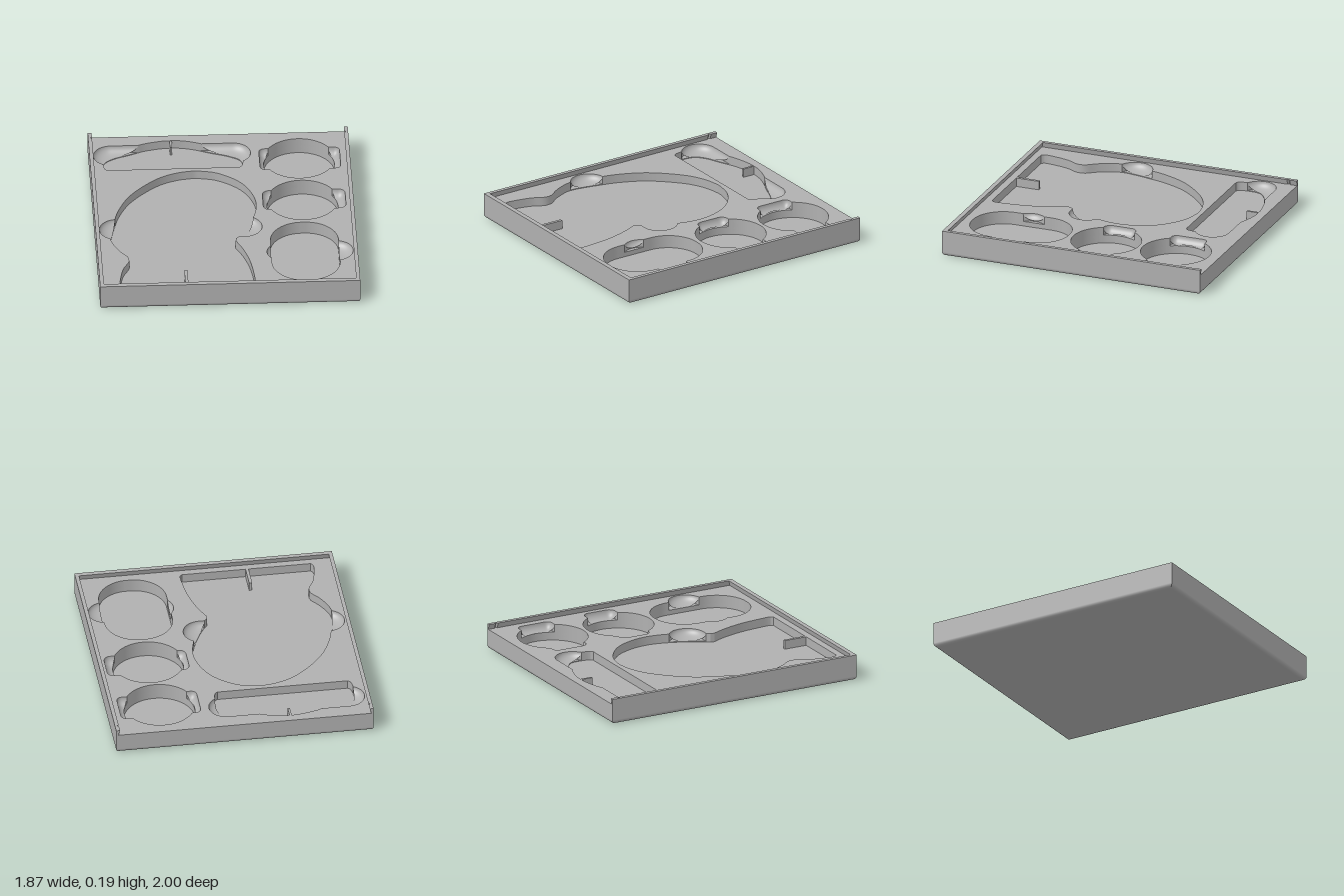
import * as THREE from 'three';
import { toCreasedNormals } from 'three/addons/utils/BufferGeometryUtils.js';

const HX = 0.935, HZ = 1, DECK = 0.15, RIM = 0.19, BASE = 0.03, LEDGE = 0.09;

// Edge of a pocket as x(z), from a smooth line through [z, x] points
function edge(points) {
  const curve = new THREE.CatmullRomCurve3(points.map(([z, x]) => new THREE.Vector3(x, 0, z)));
  const p = curve.getPoints(160);
  return z => {
    let i = 1;
    while (i < p.length - 1 && p[i].z < z) i++;
    const a = p[i - 1], b = p[i];
    const t = THREE.MathUtils.clamp((z - a.z) / (b.z - a.z || 1), 0, 1);
    return a.x + (b.x - a.x) * t;
  };
}

// Rounded rectangle, used for round pockets and finger notches
function rounded(x0, x1, z0, z1, r, fillet) {
  const cx = (x0 + x1) / 2, cz = (z0 + z1) / 2, hx = (x1 - x0) / 2, hz = (z1 - z0) / 2;
  const half = z => {
    const k = Math.max(0, Math.abs(z - cz) - hz + r);
    return hx - r + Math.sqrt(Math.max(0, r * r - k * k));
  };
  return {
    z0, z1,
    left: z => cx - half(z),
    right: z => cx + half(z),
    // Height of the scooped notch floor
    height(x, z) {
      const qx = Math.abs(x - cx) - hx + r, qz = Math.abs(z - cz) - hz + r;
      const d = r - Math.hypot(Math.max(qx, 0), Math.max(qz, 0)) - Math.min(Math.max(qx, qz), 0);
      const t = THREE.MathUtils.clamp(d / fillet, 0, 1);
      return DECK - (DECK - LEDGE - 0.0005) * Math.sqrt(1 - (1 - t) ** 2);
    },
  };
}

// Cosine-spaced values, dense at both ends
const spaced = (a, b, n) => Array.from({ length: n + 1 },
  (_, i) => a + (b - a) * (1 - Math.cos(Math.PI * i / n)) / 2);

// Closed outline of a pocket, optionally joined with its notch
function outline(pocket, notch) {
  const e = 0.0005;
  let zs = spaced(pocket.z0 + e, pocket.z1 - e, 72);
  if (notch) {
    zs = zs.concat(spaced(notch.z0 + e / 5, notch.z1 - e / 5, 24), [notch.z0 - e / 5, notch.z1 + e / 5]);
    zs.sort((a, b) => a - b);
  }
  zs = zs.filter((z, i) => !i || z - zs[i - 1] > 1e-5);
  const inside = z => notch && z > notch.z0 && z < notch.z1;
  const l = zs.map(z => new THREE.Vector2(
    inside(z) ? Math.min(pocket.left(z), notch.left(z)) : pocket.left(z), z));
  const r = zs.map(z => new THREE.Vector2(
    inside(z) ? Math.max(pocket.right(z), notch.right(z)) : pocket.right(z), z));
  return new THREE.Path(l.concat(r.reverse()));
}

// Plan shape extruded between two heights
function slab(shape, y0, y1) {
  const g = new THREE.ExtrudeGeometry(shape, { depth: y1 - y0, bevelEnabled: false });
  return g.rotateX(Math.PI / 2).translate(0, y1, 0);
}

// Curved floor of a finger notch on one side of a pocket
function scoop(pocket, notch, side) {
  const zs = spaced(notch.z0, notch.z1, 36), nv = 14, pos = [], idx = [];
  zs.forEach((z, i) => {
    const a = pocket[side](z), o = notch[side](z);
    const b = side === 'left' ? Math.min(a, o) : Math.max(a, o);
    for (let j = 0; j <= nv; j++) {
      const x = a + (b - a) * Math.sin(Math.PI / 2 * j / nv);
      pos.push(x, notch.height(x, z), z);
      if (i && j) {
        const p = i * (nv + 1) + j, q = p - nv - 1;
        if (side === 'left') idx.push(q - 1, q, p - 1, q, p, p - 1);
        else idx.push(q - 1, p - 1, q, q, p - 1, p);
      }
    }
  });
  const g = new THREE.BufferGeometry();
  g.setAttribute('position', new THREE.Float32BufferAttribute(pos, 3));
  g.setIndex(idx);
  g.computeVertexNormals();
  return g;
}

export function createModel() {
  const group = new THREE.Group();
  const grey = new THREE.MeshStandardMaterial({ color: 0xb0b0b0, side: THREE.DoubleSide });
  grey.name = 'grey plastic';
  const add = (name, geometry) => {
    const m = new THREE.Mesh(geometry, grey);
    m.name = name;
    group.add(m);
    return m;
  };

  // Pockets with floor height and finger notch
  const pockets = [
    { name: 'backRoundPocket', floor: BASE,
      main: rounded(0.315, 0.825, -0.92, -0.41, 0.255), notch: rounded(0.285, 0.865, -0.80, -0.53, 0.04, 0.06) },
    { name: 'middleRoundPocket', floor: BASE,
      main: rounded(0.315, 0.825, -0.38, 0.13, 0.255), notch: rounded(0.285, 0.88, -0.255, -0.01, 0.05, 0.06) },
    { name: 'ovalPocket', floor: 0.055,
      main: rounded(0.315, 0.805, 0.165, 0.915, 0.235), notch: rounded(0.285, 0.905, 0.415, 0.665, 0.125, 0.1) },
    { name: 'largePocket', floor: 0.085,
      main: {
        z0: -0.535, z1: 0.925,
        left: edge([[-0.535, -0.2], [-0.515, -0.31], [-0.45, -0.45], [-0.24, -0.66], [-0.05, -0.755],
          [0.08, -0.79], [0.32, -0.83], [0.4, -0.81], [0.5, -0.76], [0.56, -0.715], [0.62, -0.71],
          [0.7, -0.75], [0.8, -0.775], [0.9, -0.785], [0.925, -0.77]]),
        right: edge([[-0.535, -0.17], [-0.5, -0.03], [-0.37, 0.135], [-0.21, 0.215], [-0.07, 0.235],
          [0.09, 0.205], [0.31, 0.105], [0.36, 0.065], [0.37, 0.06], [0.38, 0.065], [0.48, 0.11],
          [0.635, 0.155], [0.8, 0.177], [0.91, 0.18], [0.925, 0.165]]),
      },
      notch: rounded(-0.905, 0.265, 0.07, 0.33, 0.13, 0.1) },
    { name: 'longPocket', floor: 0.085,
      main: {
        z0: -0.935, z1: -0.57,
        left: edge([[-0.935, -0.38], [-0.925, -0.44], [-0.9, -0.54], [-0.86, -0.63], [-0.8, -0.77],
          [-0.74, -0.83], [-0.59, -0.83], [-0.57, -0.81]]),
        right: edge([[-0.935, -0.3], [-0.925, -0.24], [-0.9, -0.16], [-0.86, -0.07], [-0.8, 0.08],
          [-0.74, 0.155], [-0.59, 0.155], [-0.57, 0.135]]),
      },
      notch: rounded(-0.905, 0.225, -0.885, -0.635, 0.125, 0.085) },
  ];

  // Base plate with rounded bottom edge
  const f = 0.028, profile = [new THREE.Vector2(0, 0)];
  for (let i = 0; i <= 6; i++) {
    const a = Math.PI / 2 * i / 6;
    profile.push(new THREE.Vector2(1 - f + f * Math.sin(a), f - f * Math.cos(a)));
  }
  profile.push(new THREE.Vector2(1, BASE), new THREE.Vector2(0, BASE));
  profile.forEach(p => { p.x *= Math.SQRT2; });
  const base = new THREE.LatheGeometry(profile, 4, Math.PI / 4).scale(HX, 1, HZ).toNonIndexed();
  base.computeVertexNormals();
  add('basePlate', toCreasedNormals(base, 0.5));

  // Tray body in layers, each open where the pockets reach that deep
  const levels = [BASE, 0.055, 0.085, LEDGE, DECK];
  for (let i = 0; i < levels.length - 1; i++) {
    const top = i === levels.length - 2;
    const shape = new THREE.Shape([[-HX, -HZ], [HX, -HZ], [HX, HZ], [-HX, HZ]]
      .map(p => new THREE.Vector2(...p)));
    for (const p of pockets) {
      if (p.floor <= levels[i]) shape.holes.push(outline(p.main, top && p.notch));
    }
    add(top ? 'deck' : 'bodyLayer' + (i + 1), toCreasedNormals(slab(shape, levels[i], levels[i + 1]), 0.5));
  }

  // Finger notch floors
  for (const p of pockets) {
    for (const side of ['left', 'right']) add(p.name + 'Notch', scoop(p.main, p.notch, side));
  }

  // Thin ribs dividing the two shaped pockets
  for (const [x, z0, z1] of [[-0.308, 0.75, 0.93], [-0.342, -0.94, -0.845]]) {
    const w = z0 > 0 ? 0.022 : 0.016;
    add('pocketRib', new THREE.BoxGeometry(w, DECK - 0.0853, z1 - z0))
      .position.set(x, (DECK + 0.0847) / 2, (z0 + z1) / 2);
  }

  // Lid rails on three sides, undercut, with a small catch near the open back
  const ix = 0.907, iz = 0.965;
  const half = [[HX, HZ], [HX, -HZ], [ix, -HZ], [ix, -0.948], [ix + 0.013, -0.937], [ix, -0.926], [ix, iz]];
  const rail = half.concat(half.slice().reverse().map(([x, z]) => [-x, z]));
  const rg = slab(new THREE.Shape(rail.map(p => new THREE.Vector2(...p))), DECK, RIM);
  const pos = rg.attributes.position;
  for (let i = 0; i < pos.count; i++) {
    const x = pos.getX(i), z = pos.getZ(i);
    if (pos.getY(i) > DECK + 0.01 || Math.abs(x) > 0.93) continue;
    pos.setX(i, x + Math.sign(x) * 0.012);
    if (z > 0.9) pos.setZ(i, z + 0.012);
  }
  rg.computeVertexNormals();
  add('lidRails', rg);

  return group;
}
